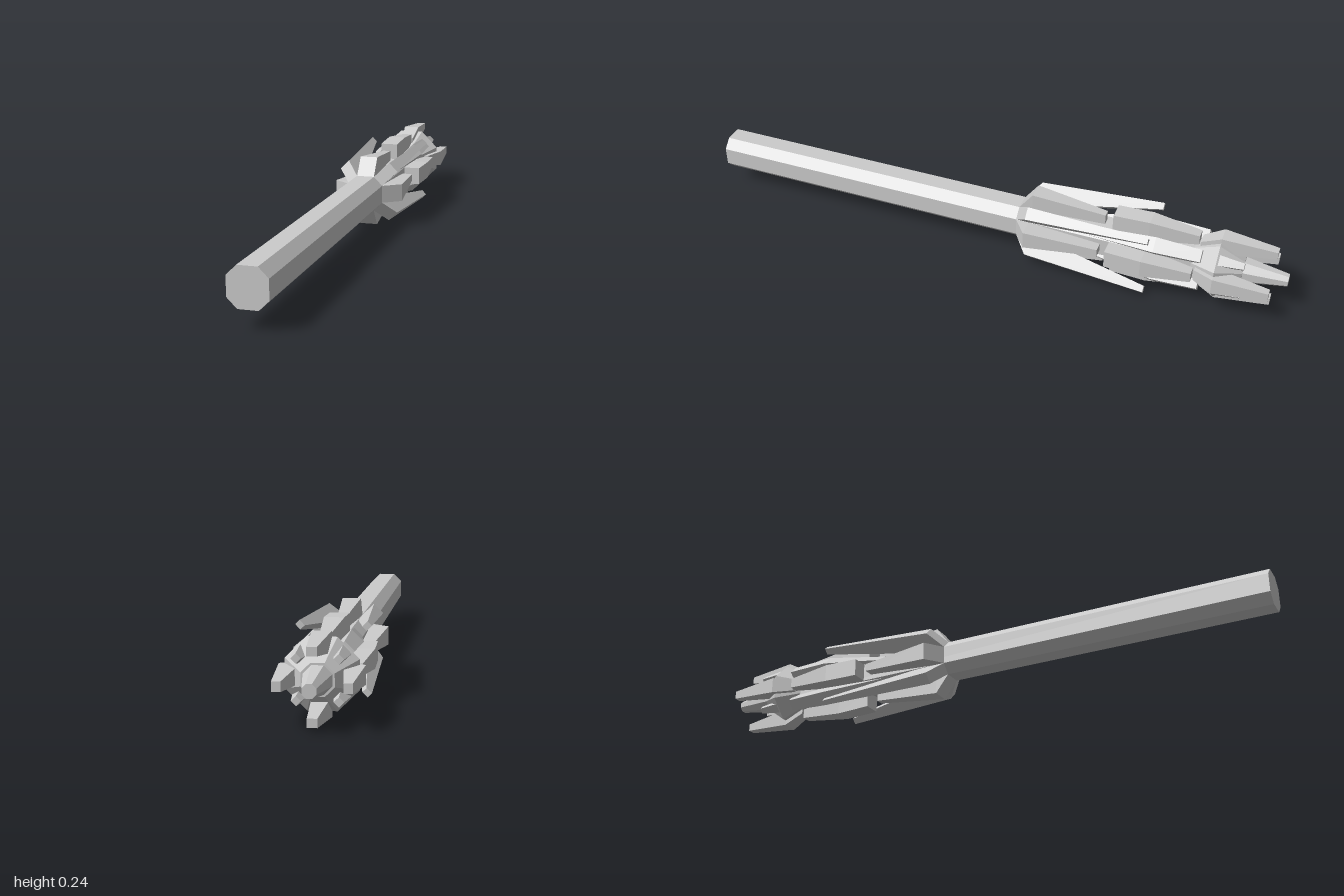
import * as THREE from 'three';

const AXIS_Y = 0.12;
const material = new THREE.MeshStandardMaterial({ color: 0xcccccc, flatShading: true });

// Box-section prong; each section is [z, inner radius, outer radius, width], from +z to -z
function prongGeometry(sections) {
  const points = [], index = [];
  for (const [z, inner, outer, width] of sections) {
    const w = width / 2;
    points.push(-w, inner, z, w, inner, z, w, outer, z, -w, outer, z);
  }
  for (let s = 0; s < sections.length - 1; s++) {
    for (let k = 0; k < 4; k++) {
      const a = s * 4 + k, b = s * 4 + (k + 1) % 4;
      index.push(a, a + 4, b + 4, a, b + 4, b);
    }
  }
  const e = (sections.length - 1) * 4;
  index.push(0, 1, 2, 0, 2, 3, e, e + 2, e + 1, e, e + 3, e + 2);
  const geometry = new THREE.BufferGeometry();
  geometry.setAttribute('position', new THREE.Float32BufferAttribute(points, 3));
  geometry.setIndex(index);
  const flat = geometry.toNonIndexed();
  flat.computeVertexNormals();
  return flat;
}

// Four copies of a prong around the axis
function ring(name, startAngle, sections) {
  const group = new THREE.Group();
  group.name = name;
  const geometry = prongGeometry(sections);
  for (let i = 0; i < 4; i++) {
    const mesh = new THREE.Mesh(geometry, material);
    mesh.name = name + (i + 1);
    mesh.rotation.z = startAngle + i * Math.PI / 2;
    group.add(mesh);
  }
  return group;
}

// Eight-sided turned part along -z; profile points are [radius, distance]
function turned(name, profile) {
  const points = profile.map(([r, d]) => new THREE.Vector2(r, d));
  const geometry = new THREE.LatheGeometry(points, 8, Math.PI / 8);
  geometry.rotateX(-Math.PI / 2);
  const mesh = new THREE.Mesh(geometry, material);
  mesh.name = name;
  return mesh;
}

export function createModel() {
  const model = new THREE.Group();
  model.name = 'sceptre';
  const body = new THREE.Group();
  body.name = 'body';
  body.position.y = AXIS_Y;
  model.add(body);

  // Octagonal shaft, continuing as the core of the head
  const a = 0.03, b = 0.06;
  const outline = [[a, -b], [b, -a], [b, a], [a, b], [-a, b], [-b, a], [-b, -a], [-a, -b]];
  const shape = new THREE.Shape(outline.map(([x, y]) => new THREE.Vector2(x, y)));
  const shaft = new THREE.Mesh(
    new THREE.ExtrudeGeometry(shape, { depth: 1.75, bevelEnabled: false }), material);
  shaft.name = 'shaft';
  shaft.position.z = -0.75;
  body.add(shaft);

  // Faceted bulb and the blunt spike at its end
  body.add(turned('bulb', [[0, 0.69], [0.06, 0.69], [0.112, 0.78], [0.05, 0.86], [0, 0.86]]));
  body.add(turned('spike', [[0, 0.78], [0.056, 0.78], [0.021, 1], [0, 1]]));

  const straight = 0, diagonal = Math.PI / 4;

  // Flared collar: short straight prongs and long diagonal ones
  body.add(ring('collarProng', straight, [
    [-0.11, 0.03, 0.06, 0.06], [-0.155, 0.04, 0.12, 0.06], [-0.4, 0.055, 0.095, 0.026]]));
  body.add(ring('longProng', diagonal, [
    [-0.11, 0.03, 0.0636, 0.042], [-0.155, 0.05, 0.124, 0.042], [-0.565, 0.128, 0.15, 0.018]]));

  // Middle blocks and the fins between them
  body.add(ring('middleBlock', straight, [
    [-0.43, 0.06, 0.115, 0.06], [-0.55, 0.05, 0.12, 0.06], [-0.71, 0.07, 0.103, 0.034]]));
  body.add(ring('middleFin', diagonal, [
    [-0.36, 0.04, 0.066, 0.03], [-0.58, 0.05, 0.103, 0.05], [-0.73, 0.05, 0.098, 0.04]]));

  // Claws around the spike and the small studs between them
  body.add(ring('claw', straight, [
    [-0.715, 0.05, 0.085, 0.04], [-0.78, 0.06, 0.12, 0.055], [-0.955, 0.082, 0.107, 0.028]]));
  body.add(ring('stud', diagonal, [
    [-0.78, 0.06, 0.1, 0.035], [-0.865, 0.072, 0.092, 0.02]]));

  return model;
}
